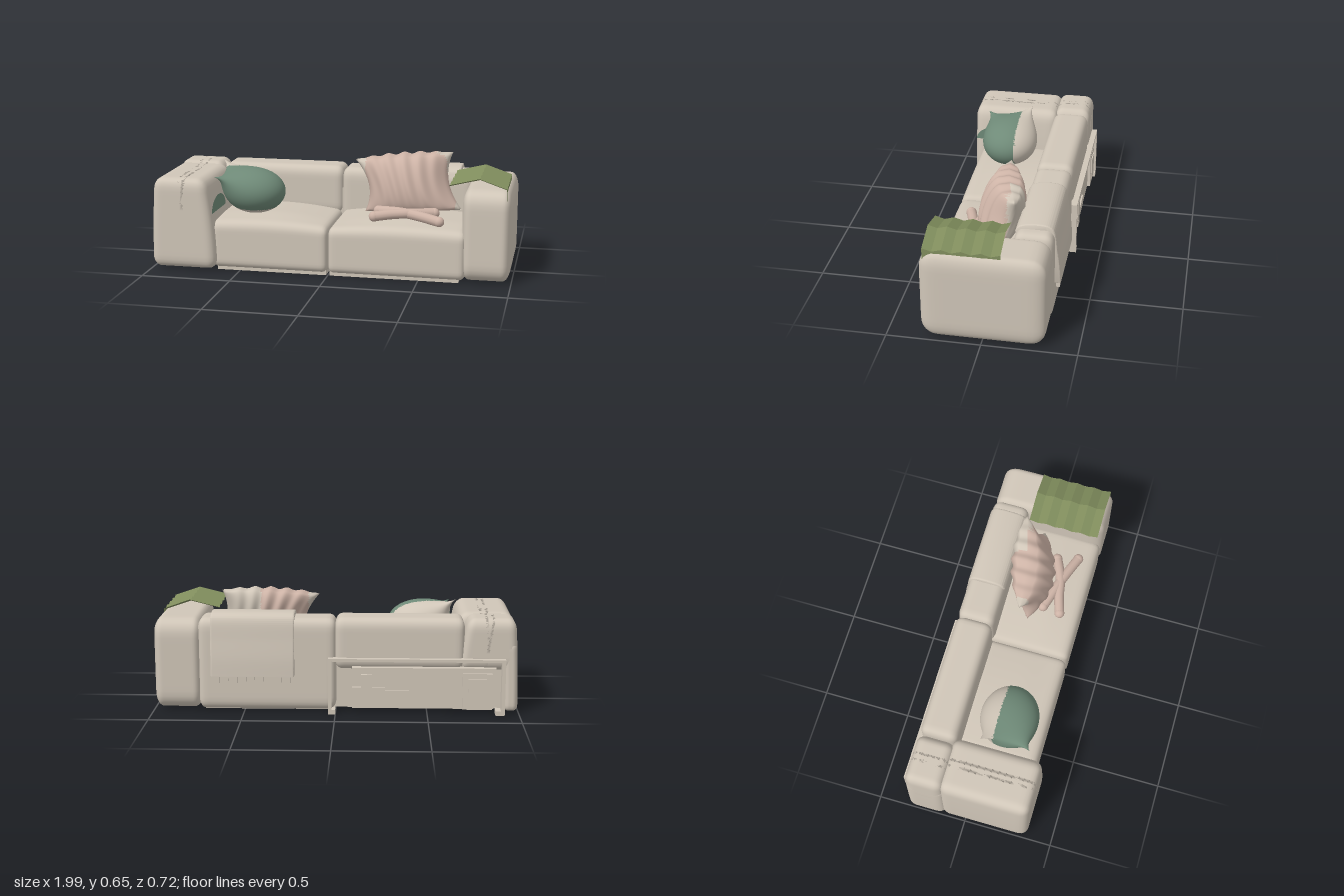
import * as THREE from 'three';
import { mergeVertices, toCreasedNormals } from 'three/addons/utils/BufferGeometryUtils.js';

const mat = (color, side = THREE.FrontSide) => new THREE.MeshStandardMaterial({ color, side });
const FABRIC = mat(0xd0c6b8), PINK = mat(0xcdb3a6), GREEN = mat(0x6f8a78);
const OLIVE = mat(0x7f8c5c, THREE.DoubleSide);
const { clamp, lerp } = THREE.MathUtils;

// Apply fn(v) to every vertex, then weld and smooth
function deform(geo, fn) {
  const p = geo.attributes.position, v = new THREE.Vector3();
  for (let i = 0; i < p.count; i++) {
    fn(v.fromBufferAttribute(p, i));
    p.setXYZ(i, v.x, v.y, v.z);
  }
  geo.deleteAttribute('uv');
  geo.deleteAttribute('normal');
  const out = mergeVertices(geo, 1e-4);
  out.computeVertexNormals();
  return out;
}

// Upholstered block between two corners, with edge radii r and an optional bulge rule
function softBox(a, b, r, bulge = () => {}) {
  const lo = new THREE.Vector3(...a), hi = new THREE.Vector3(...b);
  const mid = lo.clone().add(hi).multiplyScalar(0.5), half = hi.clone().sub(lo).multiplyScalar(0.5);
  const d = new THREE.Vector3(), inner = new THREE.Vector3();
  return deform(new THREE.BoxGeometry(2, 2, 2, 28, 20, 20), v => {
    ['x', 'y', 'z'].forEach((k, i) => {
      const p = Math.sin(v[k] * Math.PI / 2) * half[k], rad = Math.min(r[i], half[k]);
      inner[k] = clamp(p, rad - half[k], half[k] - rad);
      d[k] = (p - inner[k]) / rad;
    });
    d.normalize();
    ['x', 'y', 'z'].forEach((k, i) => { v[k] = mid[k] + inner[k] + d[k] * Math.min(r[i], half[k]); });
    bulge(v);
  });
}

// Split a geometry into two by a test on each triangle's centre
function split(geo, test) {
  const p = geo.attributes.position, c = new THREE.Vector3(), v = new THREE.Vector3(), sets = [[], []];
  for (let i = 0; i < geo.index.count; i += 3) {
    const tri = [0, 1, 2].map(k => geo.index.getX(i + k));
    c.set(0, 0, 0);
    tri.forEach(t => c.add(v.fromBufferAttribute(p, t)));
    sets[test(c.divideScalar(3)) ? 0 : 1].push(...tri);
  }
  return sets.map(s => { const g = geo.clone(); g.setIndex(s); return g; });
}

export function createModel() {
  const root = new THREE.Group();
  const add = (name, geo, material = FABRIC, parent = root) => {
    const m = new THREE.Mesh(geo, material);
    m.name = name;
    parent.add(m);
    return m;
  };
  const box = (name, a, b, parent, material) => {
    const m = add(name, new THREE.BoxGeometry(b[0] - a[0], b[1] - a[1], b[2] - a[2]), material, parent);
    m.position.set((a[0] + b[0]) / 2, (a[1] + b[1]) / 2, (a[2] + b[2]) / 2);
  };

  // Arms; the right one leans in and meets a corner block
  const taper = v => {
    const t = clamp(v.y / 0.52, 0, 1);
    v.x += v.x > -0.81 ? -0.055 * t * t : 0.02 * t * t;
  };
  add('rightArm', softBox([-0.995, 0.01, -0.14], [-0.625, 0.52, 0.36], [0.05, 0.06, 0.05], taper));
  add('leftArm', softBox([0.73, 0.01, -0.33], [0.995, 0.512, 0.32], [0.045, 0.09, 0.085]));

  // Backrest, hollowed low on the right half behind the frame
  const R = [0.04, 0.06, 0.05];
  add('backLeft', softBox([-0.005, 0.01, -0.33], [0.75, 0.52, -0.12], R));
  add('backRight', softBox([-0.7, 0.24, -0.33], [0.005, 0.525, -0.12], R));
  add('backCorner', softBox([-0.995, 0.24, -0.33], [-0.66, 0.525, -0.12], R, taper));
  box('backRightCore', [-0.95, 0.02, -0.28], [0.02, 0.4, -0.14]);
  add('cornerPost', softBox([-0.995, 0.01, -0.33], [-0.915, 0.4, -0.12], [0.03, 0.03, 0.05], v => {
    v.x += 0.02 * (v.y / 0.52) ** 2;
  }));

  // Crowned seats meeting in a dip at the middle
  [['seatRight', -0.655, 0], ['seatLeft', 0, 0.755]].forEach(([name, x0, x1]) => {
    add(name, softBox([x0, 0.012, -0.17], [x1, 0.27, 0.315], [0.03, 0.045, 0.05], v => {
      const top = clamp((v.y - 0.15) / 0.12, 0, 1);
      const s = clamp((v.x - x0) / (x1 - x0), 0, 1), inner = x0 < 0 ? 1 - s : s;
      const w = clamp((0.33 - v.z) / 0.2, 0, 1);
      v.y += top * (0.022 * Math.sqrt(inner) + 0.022 * Math.sin(Math.PI * s)) * lerp(0.35, 1, w);
    }));
  });
  box('base', [-0.63, 0, -0.12], [-0.01, 0.04, 0.29]);
  box('base', [0.01, 0, -0.26], [0.72, 0.04, 0.29]);

  // Round cushion with two pulled-out corners, green in front
  const centre = new THREE.Vector3(-0.455, 0.42, 0.11);
  const radii = new THREE.Vector3(0.178, 0.13, 0.165);
  const tips = [[-0.675, 0.58, -0.02], [-0.65, 0.525, 0.28]].map(t => {
    const tip = new THREE.Vector3(...t);
    return { tip, dir: tip.clone().sub(centre).divide(radii).normalize() };
  });
  const roundCushion = deform(new THREE.SphereGeometry(1, 64, 48), v => {
    const unit = v.clone();
    v.multiply(radii).add(centre);
    tips.forEach(({ tip, dir }) => v.lerp(tip, Math.exp(-unit.distanceTo(dir) * 2.6)));
    v.y = Math.max(v.y, 0.295);
  });
  const [greenPart, plainPart] = split(roundCushion, c => c.z > 0.062 && c.y > 0.33);
  add('roundCushionFront', greenPart, GREEN);
  add('roundCushionBack', plainPart);
  // Green patch on the arm beside the cushion
  const patch = add('armPatch', new THREE.CircleGeometry(1, 24, 0, Math.PI), GREEN);
  patch.scale.set(0.13, 0.085, 1);
  patch.rotation.y = Math.PI / 2;
  patch.position.set(-0.638, 0.33, 0.22);

  // Ruffled square cushion: a lens over four corner points
  const corners = [[0.16, 0.31, 0.03], [0.70, 0.335, -0.01], [0.10, 0.60, 0], [0.635, 0.64, -0.11]]
    .map(c => new THREE.Vector3(...c));
  const square = deform(new THREE.BoxGeometry(2, 2, 2, 56, 28, 1), v => {
    const { x: u, y: w, z: s } = v;
    const a = corners[0].clone().lerp(corners[1], (u + 1) / 2);
    const b = corners[2].clone().lerp(corners[3], (u + 1) / 2);
    const eu = 1 - u * u, ew = 1 - w * w;
    v.copy(a).lerp(b, (w + 1) / 2);
    const ruffle = Math.sin(u * 19 + w * 1.5);
    v.x -= 0.05 * u * ew;
    v.y += Math.max(w, 0) ** 2 * eu * (0.02 + 0.007 * ruffle);
    v.z += s * (0.115 + 0.008 * ruffle) * eu ** 0.6 * ew ** 0.35 + 0.02 * eu;
  });
  const [pinkPart, edgePart] = split(square, c =>
    c.x > 0.16 && c.x < 0.665 && (c.z > -0.065 || c.x < 0.42));
  add('squareCushion', pinkPart, PINK);
  add('squareCushionEdge', edgePart);

  // Knotted cloth crossing in front of the cushion
  [[[0.24, 0.325, 0.2], [0.34, 0.335, 0.17], [0.44, 0.34, 0.15], [0.56, 0.335, 0.1]],
    [[0.25, 0.335, 0.1], [0.38, 0.34, 0.14], [0.5, 0.33, 0.18], [0.6, 0.315, 0.215]]].forEach(pts => {
    const path = new THREE.CatmullRomCurve3(pts.map(p => new THREE.Vector3(...p)));
    add('knotCloth', new THREE.TubeGeometry(path, 24, 0.028, 12), PINK);
    [pts[0], pts[3]].forEach(p => {
      const end = add('knotEnd', new THREE.SphereGeometry(0.029, 14, 10), PINK);
      end.position.set(...p);
    });
  });

  // Pleated throw peaked over the left arm, its edge tucked down the side
  const section = [[0.66, 0.54], [0.82, 0.58], [0.965, 0.53], [0.97, 0.44]];
  const throwGeo = new THREE.PlaneGeometry(1, 1, 3, 8);
  const tp = throwGeo.attributes.position;
  for (let j = 0; j <= 8; j++) {
    section.forEach(([x, y], i) => tp.setXYZ(j * 4 + i, x, y - (j % 2) * 0.015, -0.1 + j * 0.05));
  }
  const pleats = throwGeo.toNonIndexed();
  pleats.computeVertexNormals();
  add('armThrow', pleats, OLIVE);

  // Blanket draped over the back, with a fringe
  const drape = new THREE.Shape();
  drape.moveTo(0.125, 0.5);
  drape.splineThru([[0.14, 0.525], [0.18, 0.54], [0.25, 0.545], [0.3, 0.535], [0.326, 0.5],
    [0.34, 0.4], [0.353, 0.3], [0.358, 0.21]].map(p => new THREE.Vector2(...p)));
  drape.lineTo(0.325, 0.21);
  drape.lineTo(0.31, 0.47);
  drape.lineTo(0.27, 0.5);
  const blanket = new THREE.ExtrudeGeometry(drape, {
    depth: 0.43, curveSegments: 32, bevelEnabled: true, bevelSize: 0.004, bevelThickness: 0.012, bevelSegments: 3,
  });
  blanket.rotateY(Math.PI / 2).translate(0.235, 0, 0);
  add('backBlanket', toCreasedNormals(blanket, 0.7));
  for (let i = 0; i < 9; i++) {
    const x = 0.245 + i * 0.048;
    box('fringe', [x, 0.168 + (i % 2) * 0.008, -0.355], [x + 0.024, 0.22, -0.335]);
  }

  // Shallow frame with a fitted panel at the rear
  const frame = new THREE.Group();
  frame.name = 'rearFrame';
  root.add(frame);
  box('topRail', [-0.92, 0.295, -0.362], [0.04, 0.31, -0.31], frame);
  box('sideRail', [-0.92, 0, -0.362], [-0.9, 0.3, -0.31], frame);
  box('sideRail', [0.02, 0, -0.362], [0.04, 0.3, -0.31], frame);
  box('foot', [0.0, 0, -0.362], [0.04, 0.025, -0.29], frame);
  box('foot', [-0.92, 0, -0.362], [-0.87, 0.025, -0.29], frame);
  box('panel', [-0.86, 0.03, -0.335], [-0.09, 0.25, -0.27], frame);
  box('panelLip', [-0.87, 0.24, -0.352], [-0.09, 0.26, -0.3], frame);
  box('raisedPlate', [-0.85, 0.03, -0.352], [-0.69, 0.23, -0.33], frame);
  box('plateInset', [-0.82, 0.06, -0.358], [-0.72, 0.2, -0.345], frame);
  box('bracket', [-0.2, 0.06, -0.35], [-0.14, 0.22, -0.33], frame);
  box('bracketArm', [-0.27, 0.11, -0.35], [-0.09, 0.15, -0.33], frame);
  box('latch', [-0.4, 0.07, -0.345], [-0.27, 0.13, -0.33], frame);
  return root;
}
